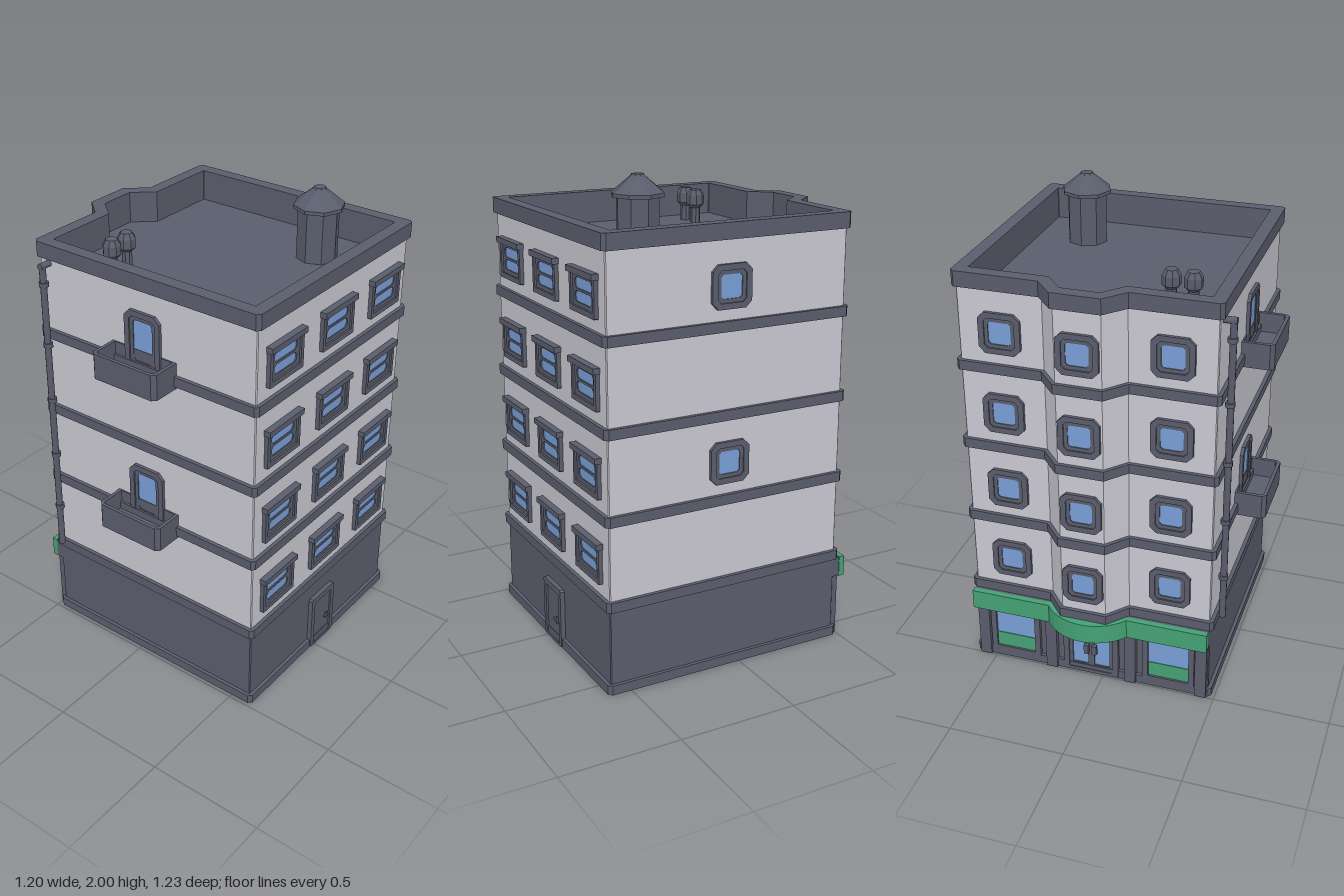
import * as THREE from 'three';

const mat = (name, color) => Object.assign(new THREE.MeshStandardMaterial({ color }), { name });
const CX = 0.055, FRONT = 0.583, BACK = -0.477, BAY = -0.565, HALF = 0.525;
const FLOORS = [0.533, 0.885, 1.237, 1.59];

export function createModel() {
  const root = new THREE.Group();
  root.name = 'apartmentBuilding';
  const dark = mat('slateTrim', 0x5a5d6c);
  const wall = mat('paleWall', 0xcac8d1);
  const glass = mat('blueGlass', 0x789fd6);
  const green = mat('greenAwning', 0x44a274);

  const add = (parent, name, geo, m, x = 0, y = 0, z = 0) => {
    const mesh = new THREE.Mesh(geo, m);
    mesh.name = name;
    mesh.position.set(x, y, z);
    parent.add(mesh);
    return mesh;
  };
  const box = (parent, name, w, h, d, m, x, y, z) =>
    add(parent, name, new THREE.BoxGeometry(w, h, d), m, x, y, z);
  const poly = pts => pts.map(p => new THREE.Vector2(p[0], p[1]));

  // Floor plan with chamfered corners and optional rear bay (shape y = -z)
  const plan = (off, bay = true, c = 0.015) => {
    const h = HALF + off, f = -(FRONT + off), b = -BACK + off, o = off * 0.4;
    const pts = [[-h + c, f], [h - c, f], [h, f + c], [h, b - c], [h - c, b]];
    if (bay) pts.push([0.172 + o, b], [0.095 + o, -BAY + off], [-0.095 - o, -BAY + off], [-0.172 - o, b]);
    pts.push([-h + c, b], [-h, b - c], [-h, f + c]);
    return poly(pts.map(([x, y]) => [x + CX, y]));
  };
  // Extrude a floor plan upward from y0 to y1
  const slab = (parent, name, pts, y0, y1, m, hole) => {
    const s = new THREE.Shape(pts);
    if (hole) s.holes.push(new THREE.Path(hole));
    const g = new THREE.ExtrudeGeometry(s, { depth: y1 - y0, bevelEnabled: false });
    return add(parent, name, g.rotateX(-Math.PI / 2), m, 0, y0, 0);
  };

  // Storeys, bands and roof
  slab(root, 'groundFloor', plan(0, false, 0.004), 0.01, 0.36, dark);
  slab(root, 'plinth', plan(0.015, false), 0, 0.04, dark);
  slab(root, 'upperWalls', plan(0, true, 0.004), 0.39, 1.78, wall, plan(-0.03));
  for (const y of [0.355, 0.71, 1.06, 1.415]) slab(root, 'floorBand', plan(0.016), y, y + 0.042, dark);
  slab(root, 'parapetCap', plan(0.016), 1.77, 1.835, dark, plan(-0.04, true, 0.002));
  slab(root, 'parapetLining', plan(-0.025), 1.68, 1.80, dark, plan(-0.04, true, 0.002));
  slab(root, 'roofDeck', plan(-0.03), 1.68, 1.70, dark);

  // Chamfered rectangle, and a frame with openings [w, h, chamfer, y, x]
  const rect = (w, h, c, y = 0, x = 0) => poly([
    [-w / 2 + c, -h / 2], [w / 2 - c, -h / 2], [w / 2, -h / 2 + c], [w / 2, h / 2 - c],
    [w / 2 - c, h / 2], [-w / 2 + c, h / 2], [-w / 2, h / 2 - c], [-w / 2, -h / 2 + c],
  ].map(p => [p[0] + x, p[1] + y]));
  const frame = (parent, name, w, h, c, depth, ...holes) => {
    const s = new THREE.Shape(rect(w, h, c));
    for (const o of holes) s.holes.push(new THREE.Path(rect(...o)));
    add(parent, name, new THREE.ExtrudeGeometry(s, { depth, bevelEnabled: false }), dark);
  };
  const place = (name, x, y, z, turn = 0) => {
    const g = new THREE.Group();
    g.name = name;
    g.position.set(x, y, z);
    g.rotation.y = turn;
    root.add(g);
    return g;
  };

  // Wide front window with two stacked panes
  const wideWindow = (x, y) => {
    const g = place('frontWindow', x, y, FRONT);
    frame(g, 'outerFrame', 0.22, 0.17, 0.003, 0.017, [0.184, 0.126, 0.003]);
    frame(g, 'sash', 0.19, 0.13, 0.002, 0.009, [0.146, 0.042, 0.012, 0.026], [0.146, 0.042, 0.012, -0.026]);
    box(g, 'pane', 0.16, 0.11, 0.004, glass, 0, 0, 0.002);
    box(g, 'lintel', 0.23, 0.024, 0.029, dark, 0, 0.075, 0.0145);
  };
  // Chamfered window or balcony door
  const tallWindow = (name, x, y, z, turn, h = 0.174) => {
    const g = place(name, x, y, z, turn);
    frame(g, 'outerFrame', 0.174, h, 0.026, 0.014, [0.126, h - 0.048, 0.014]);
    frame(g, 'sash', 0.13, h - 0.044, 0.012, 0.008, [0.094, h - 0.08, 0.01]);
    box(g, 'pane', 0.105, h - 0.07, 0.004, glass, 0, 0, 0.002);
  };
  for (const y of FLOORS) for (const i of [-1, 0, 1]) {
    wideWindow(CX + i * 0.355, y);
    tallWindow('backWindow', CX + i * 0.35, y, i ? BACK : BAY, Math.PI);
  }

  // Side windows, balcony doors and balconies
  for (const y of [FLOORS[1], FLOORS[3]]) {
    tallWindow('sideWindow', CX + HALF, y, CX, Math.PI / 2);
    tallWindow('balconyDoor', CX - HALF, y - 0.04, 0.052, -Math.PI / 2, 0.254);
    const outer = poly([[-0.47, -0.21], [-0.47, 0.106], [-0.587, 0.106], [-0.604, 0.089], [-0.604, -0.193], [-0.587, -0.21]]);
    const inner = poly([[-0.476, -0.195], [-0.476, 0.091], [-0.58, 0.091], [-0.589, 0.082], [-0.589, -0.186], [-0.58, -0.195]]);
    slab(root, 'balconyRail', outer, y - 0.19, y - 0.08, dark, inner);
    slab(root, 'balconyFloor', inner, y - 0.19, y - 0.165, dark);
  }

  // Front service door
  const door = place('frontDoor', CX, 0.132, FRONT);
  frame(door, 'doorFrame', 0.174, 0.264, 0.008, 0.02, [0.128, 0.226, 0.002, -0.008]);
  box(door, 'doorLeaf', 0.13, 0.24, 0.012, dark, 0, -0.01, 0.006);
  box(door, 'handlePlate', 0.012, 0.03, 0.008, dark, 0.038, -0.025, 0.015);
  box(door, 'handle', 0.03, 0.008, 0.008, dark, 0.03, -0.022, 0.021);

  // Rear shop windows, entrance and pilasters
  for (const i of [-1, 1]) {
    const g = place('shopWindow', CX + i * 0.35, 0.16, BACK, Math.PI);
    frame(g, 'shopFrame', 0.23, 0.25, 0.003, 0.018, [0.18, 0.215, 0.003]);
    box(g, 'shopPane', 0.19, 0.22, 0.006, glass, 0, 0, 0.003);
    box(g, 'shopLowerPanel', 0.182, 0.07, 0.009, green, 0, -0.073, 0.0045);
    for (const x of [0.18, 0.495]) box(root, 'pilaster', 0.05, 0.27, 0.03, dark, CX + i * x, 0.135, BACK - 0.01);
  }
  const entry = place('entrance', CX, 0.145, BACK, Math.PI);
  frame(entry, 'entranceFrame', 0.25, 0.28, 0.003, 0.018, [0.2, 0.25, 0.003]);
  frame(entry, 'doorLeaves', 0.206, 0.256, 0.002, 0.012, [0.07, 0.2, 0.004, 0, 0.049], [0.07, 0.2, 0.004, 0, -0.049]);
  box(entry, 'doorGlass', 0.19, 0.23, 0.005, glass, 0, 0, 0.0025);
  for (const i of [-1, 1]) box(entry, 'doorHandle', 0.02, 0.045, 0.018, dark, i * 0.018, -0.01, 0.02);

  // Awning: grey backing with a green fascia bowed over the entrance
  box(root, 'awningBacking', 1.05, 0.085, 0.04, dark, CX, 0.311, -0.49);
  const bow = [];
  for (let i = 0; i <= 16; i++) {
    const x = 0.175 - 0.35 * i / 16;
    bow.push([x + CX, 0.53 + Math.sqrt(0.2226 ** 2 - x * x) - 0.1376]);
  }
  slab(root, 'awning', poly([[-0.47, 0.505], [0.583, 0.505], [0.583, 0.53], ...bow, [-0.47, 0.53]]), 0.267, 0.356, green);

  // Drainpipe with couplings
  const pipe = (name, r, len, x, y) =>
    add(root, name, new THREE.CylinderGeometry(r, r, len, 10), dark, x, y, -0.43);
  pipe('drainpipe', 0.014, 1.35, -0.509, 1.075);
  for (const y of [0.6, 0.87, 1.14, 1.4, 1.67]) pipe('pipeCoupling', 0.02, 0.02, -0.507, y);
  pipe('pipeElbow', 0.014, 0.06, -0.493, 1.748).rotation.z = Math.PI / 2;

  // Roof tank and vents
  const facet = dark.clone();
  facet.name = 'slateFaceted';
  facet.flatShading = true;
  const lathe = (name, pts, x, z, turn = 0) => {
    add(root, name, new THREE.LatheGeometry(poly(pts), 8), facet, x, 1.695, z).rotation.y = turn;
  };
  lathe('roofTank', [[0.086, 0], [0.086, 0.22], [0.106, 0.22], [0.106, 0.235], [0.03, 0.297], [0.025, 0.305], [0, 0.305]], 0.32, 0.315);
  for (const x of [-0.304, -0.216])
    lathe('roofVent', [[0.022, 0], [0.022, 0.07], [0.038, 0.085], [0.038, 0.125], [0.025, 0.148], [0, 0.148]], x, -0.243, Math.PI / 8);

  return root;
}
